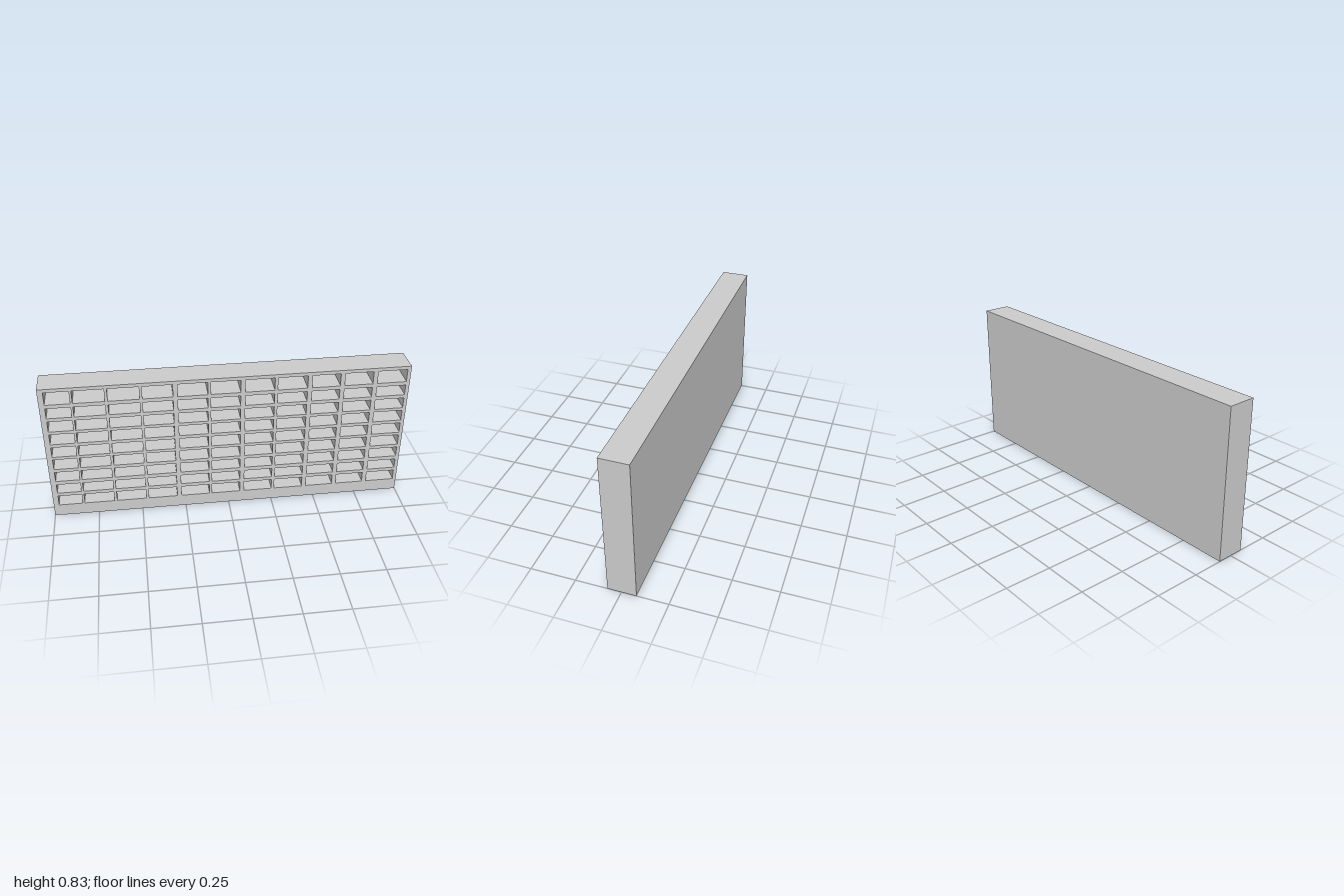
import * as THREE from 'three';

const HEIGHT = 0.83, BACK = -0.08, FRONT = 0.075, LIP = 0.08, PANEL = 0.005;

// Left and right edges of each column of compartments
const COLUMNS = [
  [-0.97, -0.837], [-0.825, -0.657], [-0.642, -0.475], [-0.46, -0.298],
  [-0.273, -0.112], [-0.096, 0.065], [0.09, 0.25], [0.267, 0.43],
  [0.455, 0.61], [0.635, 0.792], [0.817, 0.98],
];
// Bottom and top edges of each row of compartments
const ROWS = [
  [0.073, 0.135], [0.157, 0.215], [0.239, 0.3], [0.321, 0.385], [0.403, 0.466],
  [0.486, 0.55], [0.568, 0.631], [0.652, 0.713], [0.735, 0.81],
];

function rectangle(target, x0, y0, x1, y1) {
  target.moveTo(x0, y0).lineTo(x1, y0).lineTo(x1, y1).lineTo(x0, y1).closePath();
  return target;
}

export function createModel() {
  const group = new THREE.Group();
  group.name = 'compartmentRack';
  const material = new THREE.MeshStandardMaterial({ color: 0xcccccc, flatShading: true });

  const add = (name, geometry, x, y, z, parent = group) => {
    const mesh = new THREE.Mesh(geometry, material);
    mesh.name = name;
    mesh.position.set(x, y, z);
    parent.add(mesh);
  };

  // Grid of compartments cut through one solid block
  const outline = rectangle(new THREE.Shape(), -1, 0, 1, HEIGHT);
  for (const [y0, y1] of ROWS) {
    for (const [x0, x1] of COLUMNS) {
      outline.holes.push(rectangle(new THREE.Path(), x0, y0, x1, y1));
    }
  }
  const depth = FRONT - BACK - PANEL;
  add('rackFrame', new THREE.ExtrudeGeometry(outline, { depth, bevelEnabled: false }), 0, 0, BACK + PANEL);

  // Closed back
  add('backPanel', new THREE.BoxGeometry(2, HEIGHT, PANEL), 0, HEIGHT / 2, BACK + PANEL / 2);

  // Thin floor in every compartment, standing slightly proud of the front
  const floors = new THREE.Group();
  floors.name = 'compartmentFloors';
  group.add(floors);
  const thickness = 0.003, floorDepth = LIP - BACK - PANEL;
  for (const [y0] of ROWS) {
    for (const [x0, x1] of COLUMNS) {
      add('compartmentFloor', new THREE.BoxGeometry(x1 - x0, thickness, floorDepth),
        (x0 + x1) / 2, y0 + thickness / 2, LIP - floorDepth / 2, floors);
    }
  }
  return group;
}
